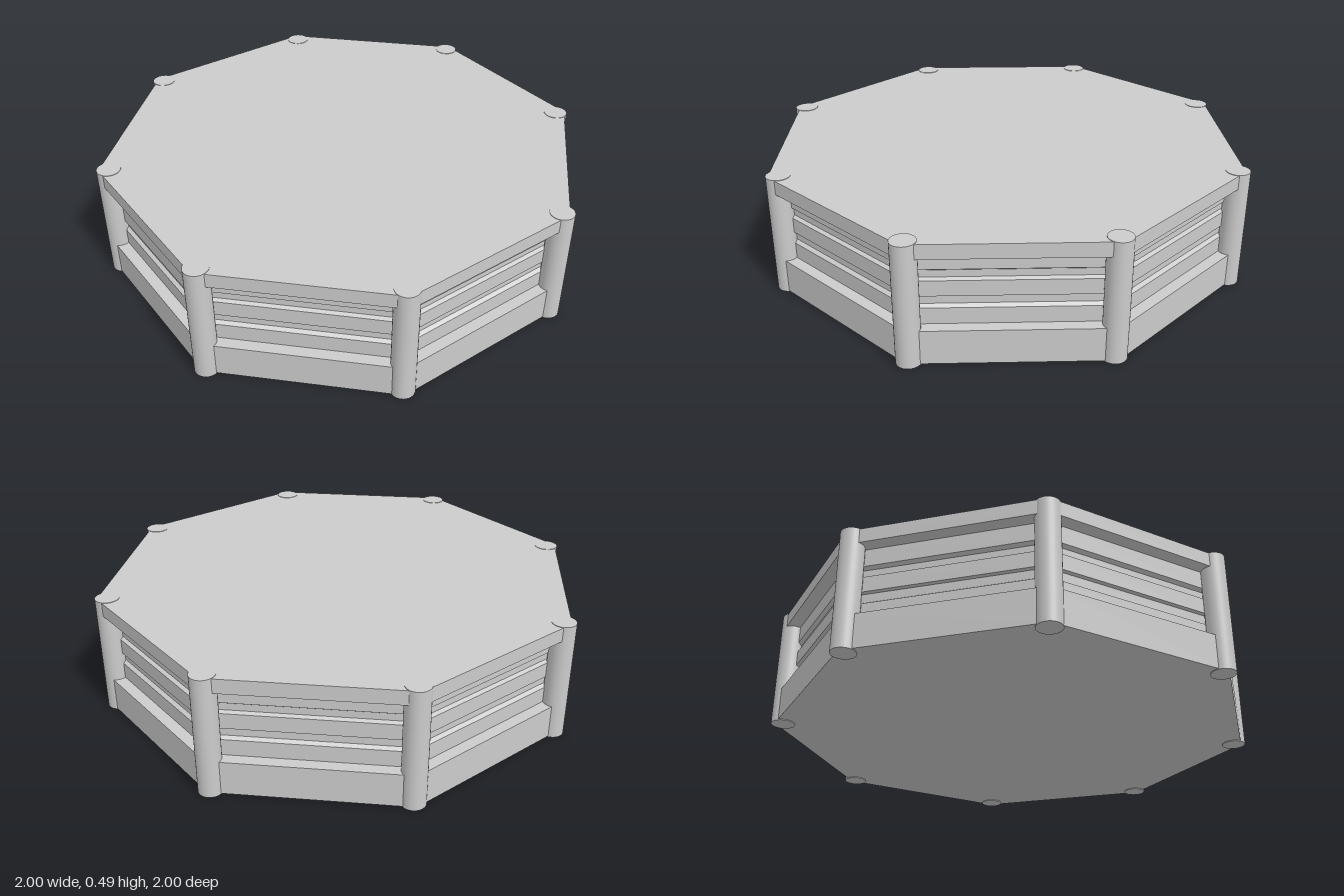
import * as THREE from 'three';

const H = 0.49;

// Closed octagonal ring stack: profile points are [corner radius, height]
function octagon(name, profile, material) {
  const pts = profile.map(([r, y]) => new THREE.Vector2(r, y));
  const mesh = new THREE.Mesh(new THREE.LatheGeometry(pts, 8), material);
  mesh.name = name;
  return mesh;
}

export function createModel() {
  const group = new THREE.Group();
  group.name = 'octagonalPlatform';
  const flat = new THREE.MeshStandardMaterial({ color: 0xcccccc, flatShading: true });
  const smooth = new THREE.MeshStandardMaterial({ color: 0xcccccc });

  // Solid plinth at the bottom
  group.add(octagon('basePlinth', [[0, 0.003], [0.986, 0.003], [0.986, 0.14], [0, 0.14]], flat));

  // Recessed wall of planks with shallow grooves between them
  const out = 0.935, groove = 0.919;
  group.add(octagon('plankWall', [
    [out, 0.138], [out, 0.205], [groove, 0.215],
    [groove, 0.25], [out, 0.253], [out, 0.315], [groove, 0.322],
    [groove, 0.35], [out, 0.36], [out, 0.432],
  ], flat));

  // Overhanging deck
  group.add(octagon('topDeck', [[0, 0.43], [0.993, 0.43], [0.993, H - 0.002], [0, H - 0.002]], flat));

  // Round post at each corner
  const postGeometry = new THREE.CylinderGeometry(0.048, 0.048, H, 32);
  for (let i = 0; i < 8; i++) {
    const a = (i * Math.PI) / 4;
    const r = i % 2 ? 0.962 : 0.952;
    const post = new THREE.Mesh(postGeometry, smooth);
    post.name = `cornerPost${i + 1}`;
    post.position.set(r * Math.sin(a), H / 2, r * Math.cos(a));
    group.add(post);
  }
  return group;
}
